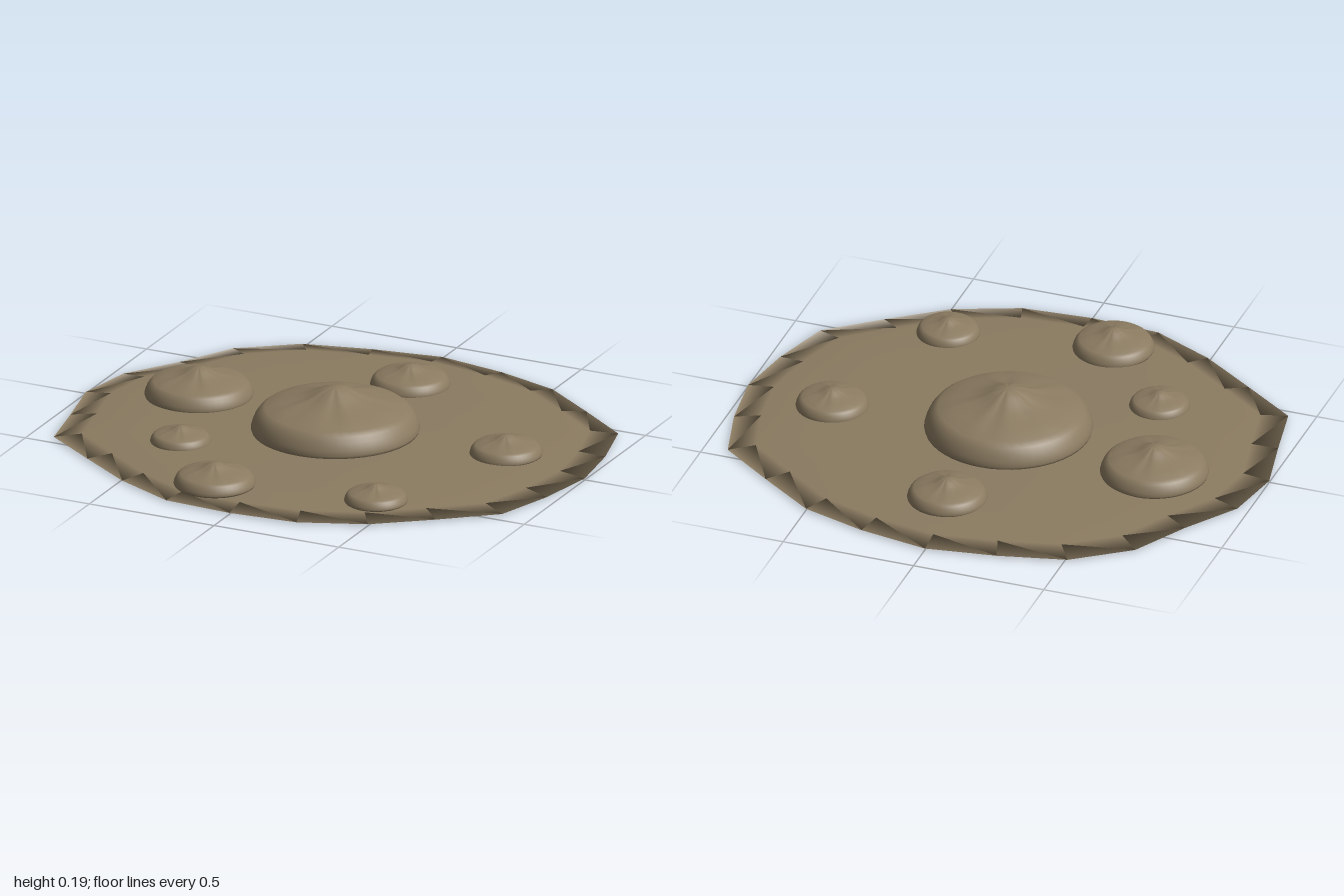
import * as THREE from 'three';
import { mergeVertices } from 'three/addons/utils/BufferGeometryUtils.js';

// Weld coincident points so that the shading runs smoothly across seams
function smooth(geometry) {
  geometry.deleteAttribute('uv');
  geometry.deleteAttribute('normal');
  const welded = mergeVertices(geometry, 1e-5);
  welded.computeVertexNormals();
  return welded;
}

// Irregular plate outline, x and z, clockwise from the back
const OUTLINE = [
  [0, -0.88], [0.26, -0.835], [0.5, -0.76], [0.71, -0.61], [0.91, -0.46], [0.97, -0.23],
  [1, 0], [0.96, 0.23], [0.89, 0.455], [0.7, 0.61], [0.5, 0.76], [0.26, 0.855],
  [0, 0.875], [-0.26, 0.86], [-0.49, 0.75], [-0.7, 0.605], [-0.905, 0.46], [-0.95, 0.23],
  [-1, 0], [-0.96, -0.225], [-0.83, -0.42], [-0.715, -0.63], [-0.51, -0.78], [-0.26, -0.84],
];

// Rings from the centre of the underside, round the sharp rim, to the top centre
function plateGeometry() {
  const rings = [[0, 0], [0.88, 0], [1, 0.006], [0.9, 0.018], [0.68, 0.027], [0, 0.03]];
  const n = OUTLINE.length;
  const positions = [];
  const index = [];
  for (const [s, y] of rings) for (const [x, z] of OUTLINE) positions.push(x * s, y, z * s);
  for (let k = 0; k < rings.length - 1; k++) {
    for (let i = 0; i < n; i++) {
      const j = (i + 1) % n;
      const a = k * n + i, b = k * n + j, c = b + n, d = a + n;
      if (k > 0) index.push(a, c, b);
      if (k < rings.length - 2) index.push(a, d, c);
    }
  }
  const g = new THREE.BufferGeometry();
  g.setAttribute('position', new THREE.Float32BufferAttribute(positions, 3));
  g.setIndex(index);
  return smooth(g);
}

function lathe(points) {
  return new THREE.LatheGeometry(points.map(([r, y]) => new THREE.Vector2(r, y)), 48);
}

// Rounded lower body of a mound, unit radius
function bodyGeometry() {
  return smooth(lathe([
    [0, 0], [0.95, 0], [0.99, 0.025], [1, 0.06], [0.985, 0.12], [0.95, 0.2],
    [0.9, 0.265], [0.84, 0.31], [0.76, 0.325], [0, 0.33],
  ]));
}

// Pointed cap with soft radial folds
function capGeometry() {
  const g = lathe([
    [0.84, 0.305], [0.76, 0.338], [0.65, 0.368], [0.52, 0.4], [0.4, 0.43],
    [0.28, 0.475], [0.2, 0.52], [0.1, 0.555], [0, 0.57],
  ]);
  const p = g.attributes.position;
  for (let i = 0; i < p.count; i++) {
    const x = p.getX(i), z = p.getZ(i);
    const r = Math.hypot(x, z), a = Math.atan2(z, x);
    const fold = Math.sin(9 * a) + 0.6 * Math.sin(14 * a + 1);
    p.setY(i, p.getY(i) + 0.006 * fold * Math.sin(Math.PI * Math.min(1, r / 0.9)));
  }
  return smooth(g);
}

export function createModel() {
  const group = new THREE.Group();
  const earth = new THREE.MeshStandardMaterial({ color: 0x8b7b61 });
  earth.name = 'earth brown';

  const plate = new THREE.Mesh(plateGeometry(), earth);
  plate.name = 'groundPlate';
  group.add(plate);

  // Mounds: x, z, radius
  const mounds = [
    [0, 0, 0.305], [-0.6, -0.11, 0.197], [0.04, -0.535, 0.145], [0.655, -0.06, 0.132],
    [0.44, 0.57, 0.115], [-0.157, 0.672, 0.148], [-0.455, 0.34, 0.11],
  ];
  const body = bodyGeometry();
  const cap = capGeometry();
  mounds.forEach(([x, z, r], i) => {
    const mound = new THREE.Group();
    mound.name = i === 0 ? 'centralMound' : `smallMound${i}`;
    const bodyMesh = new THREE.Mesh(body, earth);
    bodyMesh.name = 'moundBody';
    const capMesh = new THREE.Mesh(cap, earth);
    capMesh.name = 'moundCap';
    mound.add(bodyMesh, capMesh);
    mound.position.set(x, 0.02, z);
    mound.scale.setScalar(r);
    group.add(mound);
  });
  return group;
}
